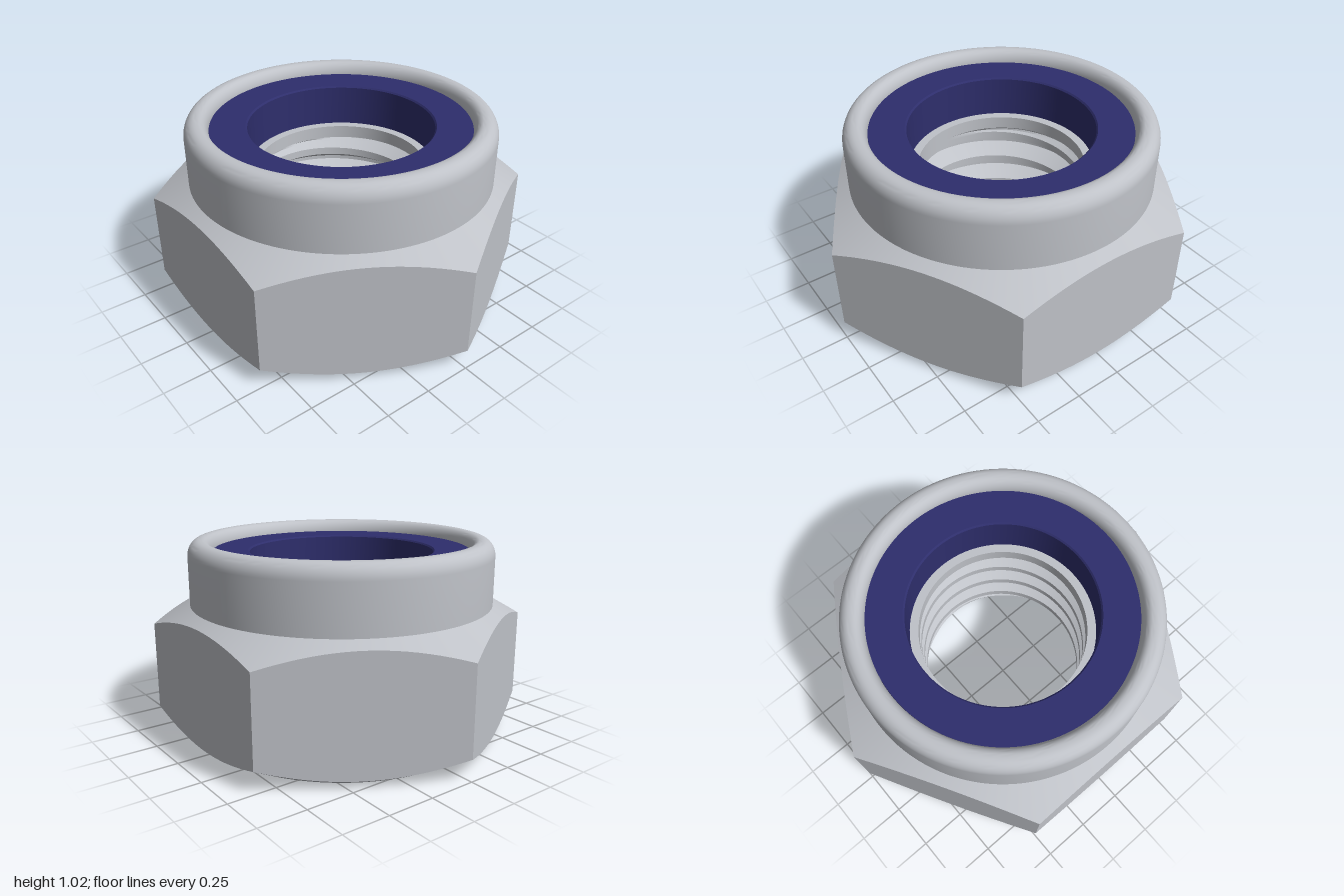
import * as THREE from 'three';
import { toCreasedNormals } from 'three/addons/utils/BufferGeometryUtils.js';

const TAU = Math.PI * 2;
const SEGMENTS = 120;
const clamp = THREE.MathUtils.clamp;

// Skin a list of rows around the y axis; each row maps an angle to [radius, y].
function sweep(name, rows, material, crease) {
  const point = (row, j) => {
    const a = (j / SEGMENTS) * TAU;
    const [r, y] = row(a);
    return new THREE.Vector3(r * Math.sin(a), y, r * Math.cos(a));
  };
  const positions = [];
  const triangle = (a, b, c) => {
    const area = b.clone().sub(a).cross(c.clone().sub(a)).length();
    if (area > 1e-9) for (const p of [a, b, c]) positions.push(p.x, p.y, p.z);
  };
  for (let i = 0; i < rows.length - 1; i++) {
    for (let j = 0; j < SEGMENTS; j++) {
      const a = point(rows[i], j), b = point(rows[i], j + 1);
      const c = point(rows[i + 1], j + 1), d = point(rows[i + 1], j);
      triangle(a, b, c);
      triangle(a, c, d);
    }
  }
  const geometry = new THREE.BufferGeometry();
  geometry.setAttribute('position', new THREE.Float32BufferAttribute(positions, 3));
  const mesh = new THREE.Mesh(toCreasedNormals(geometry, crease), material);
  mesh.name = name;
  return mesh;
}

const ring = (r, y) => () => [r, y];

export function createModel() {
  const steel = new THREE.MeshStandardMaterial({ color: 0xbfc2c8 });
  steel.name = 'steel';
  const nylon = new THREE.MeshStandardMaterial({ color: 0x2e2e6c });
  nylon.name = 'navy nylon';

  const nut = new THREE.Group();
  nut.name = 'lockNut';

  // Hexagonal body: flats cut by 30 degree cones at both ends
  const bodyTop = 0.69, faceR = 0.805, holeR = 0.54;
  const hexR = a => 0.866 / Math.cos((a % (TAU / 6)) - TAU / 12);
  const drop = a => (hexR(a) - faceR) * Math.tan(Math.PI / 6);
  nut.add(sweep('hexBody', [
    ring(holeR, 0),
    ring(faceR, 0),
    a => [hexR(a), drop(a)],
    a => [hexR(a), bodyTop - drop(a)],
    ring(faceR, bodyTop),
  ], steel, 0.4));

  // Collar with a rounded rim curling in over the insert, then the inner ledge
  const collar = [ring(faceR, bodyTop)];
  const arc = (cx, cy, rx, ry, from, to) => {
    for (let i = 0; i <= 10; i++) {
      const t = from + (to - from) * i / 10;
      collar.push(ring(cx + rx * Math.cos(t), cy + ry * Math.sin(t)));
    }
  };
  arc(0.74, 0.945, 0.065, 0.08, 0, Math.PI / 2);
  arc(0.73, 0.955, 0.05, 0.07, Math.PI / 2, Math.PI);
  const ledgeY = 0.73, minorR = 0.44, threadTop = 0.66;
  collar.push(ring(0.68, ledgeY), ring(minorR, ledgeY), ring(minorR, threadTop));
  nut.add(sweep('collar', collar, steel, 0.6));

  // Helical thread, fading out at the top and countersunk at the bottom
  const pitch = 0.167, depth = 0.085, steps = 16;
  const threadRow = k => a => {
    const y = clamp((k / steps + a / TAU) * pitch, 0, threadTop);
    const u = (((k % steps) + steps) % steps) / steps;
    const groove = clamp((0.75 - Math.abs(u - 0.5) * 2) / 0.625, 0, 1);
    const fade = clamp((threadTop - y) / 0.03, 0, 1);
    return [Math.max(minorR + depth * groove * fade, holeR - y), y];
  };
  const threadRows = [];
  for (let k = Math.ceil(threadTop / pitch) * steps; k >= -steps; k--) threadRows.push(threadRow(k));
  nut.add(sweep('thread', threadRows, steel, 0.5));

  // Locking insert
  const insertTop = 0.96, insertR = 0.485, bevel = 0.008;
  nut.add(sweep('lockingInsert', [
    ring(insertR, ledgeY + 0.002),
    ring(0.679, ledgeY + 0.002),
    ring(0.679, insertTop),
    ring(insertR + bevel, insertTop),
    ring(insertR, insertTop - bevel),
    ring(insertR, ledgeY + 0.002),
  ], nylon, 0.5));

  return nut;
}
